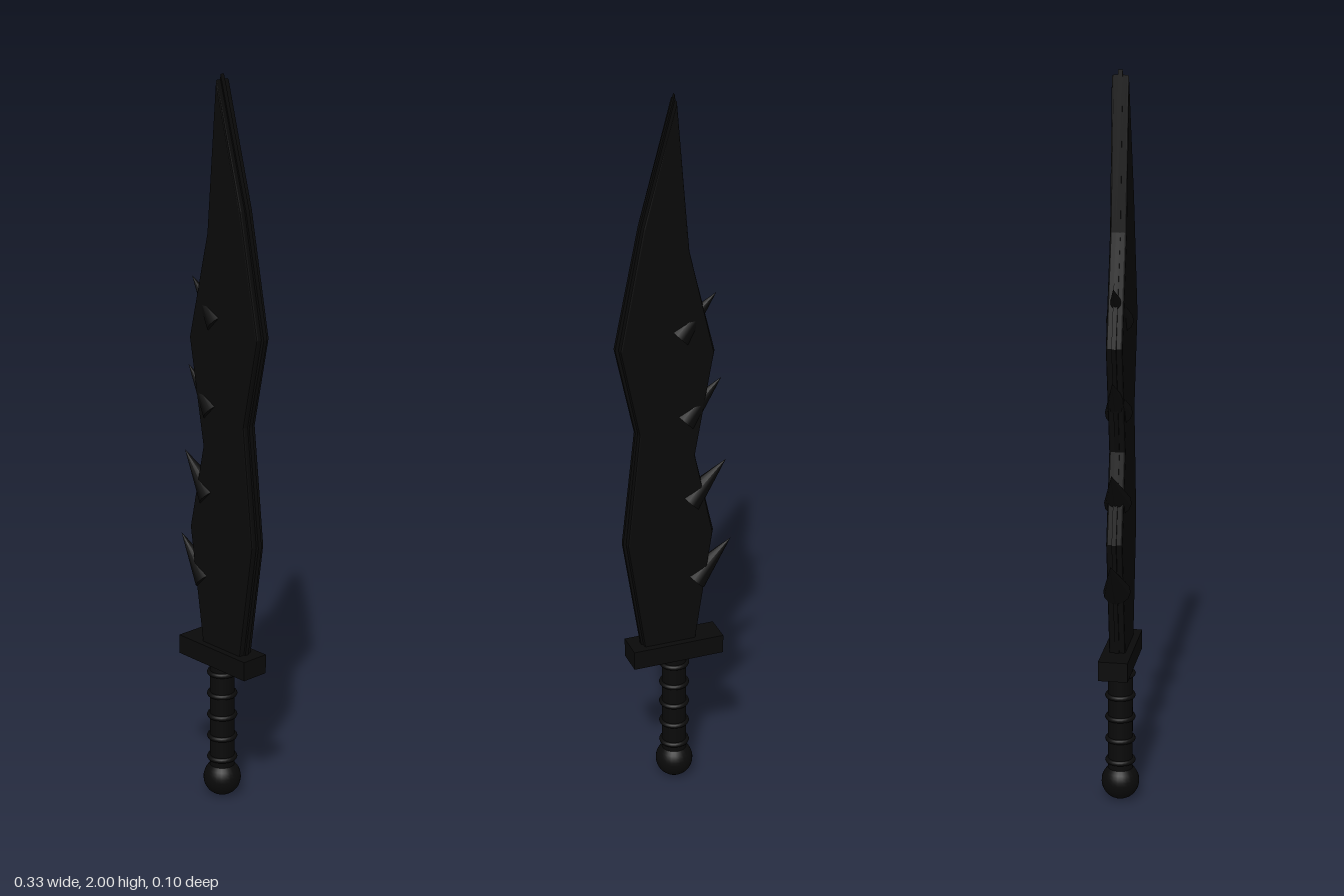
import * as THREE from 'three';

const black = new THREE.MeshStandardMaterial({ name: 'black iron', color: 0x0a0a0a });

// Wavy blade outline, from the tip clockwise
const OUTLINE = [
  [0, 2], [0.095, 1.665], [0.163, 1.34], [0.11, 1.095], [0.147, 0.77], [0.095, 0.43],
  [-0.056, 0.43], [-0.11, 0.77], [-0.055, 1.01], [-0.11, 1.3], [-0.037, 1.59],
];

function add(group, name, geometry, x = 0, y = 0, z = 0) {
  const mesh = new THREE.Mesh(geometry, black);
  mesh.name = name;
  mesh.position.set(x, y, z);
  group.add(mesh);
  return mesh;
}

function bladeShape(scaleX, tipY) {
  return new THREE.Shape(OUTLINE.map(([x, y], i) => new THREE.Vector2(x * scaleX, i ? y : tipY)));
}

export function createModel() {
  const sword = new THREE.Group();
  sword.name = 'sword';

  // Thick blade body with softened edges
  const body = new THREE.ExtrudeGeometry(bladeShape(0.945, 1.987), {
    depth: 0.034, bevelEnabled: true, bevelThickness: 0.005, bevelSize: 0.005,
    bevelOffset: -0.005, bevelSegments: 2,
  });
  body.translate(0, 0, -0.017);
  add(sword, 'bladeBody', body);

  // Thin cutting edge standing proud of the body
  const edge = new THREE.ExtrudeGeometry(bladeShape(1, 2), { depth: 0.012, bevelEnabled: false });
  edge.translate(0, 0, -0.006);
  add(sword, 'cuttingEdge', edge);

  // Barbs along the back of the blade, pointing up and outward
  const height = 0.15;
  for (let i = 0; i < 4; i++) {
    const cone = new THREE.ConeGeometry(0.037, height, 12);
    cone.translate(0, -height / 2, 0); // origin at the point
    const barb = add(sword, 'barb', cone, -0.164 + i * 0.016, 0.73 + i * 0.243);
    barb.rotation.z = Math.PI / 4;
  }

  // Crossguard
  add(sword, 'guard', new THREE.BoxGeometry(0.26, 0.054, 0.08), 0, 0.422);

  // Grip with wrapped rings
  add(sword, 'grip', new THREE.CylinderGeometry(0.034, 0.034, 0.34, 24), 0, 0.235);
  for (let i = 0; i < 5; i++) {
    const ring = new THREE.TorusGeometry(0.035, 0.007, 8, 24);
    ring.rotateX(Math.PI / 2);
    add(sword, 'gripRing', ring, 0, 0.116 + i * 0.0635);
  }

  // Pommel
  add(sword, 'pommel', new THREE.SphereGeometry(0.052, 24, 16), 0, 0.054);

  return sword;
}
